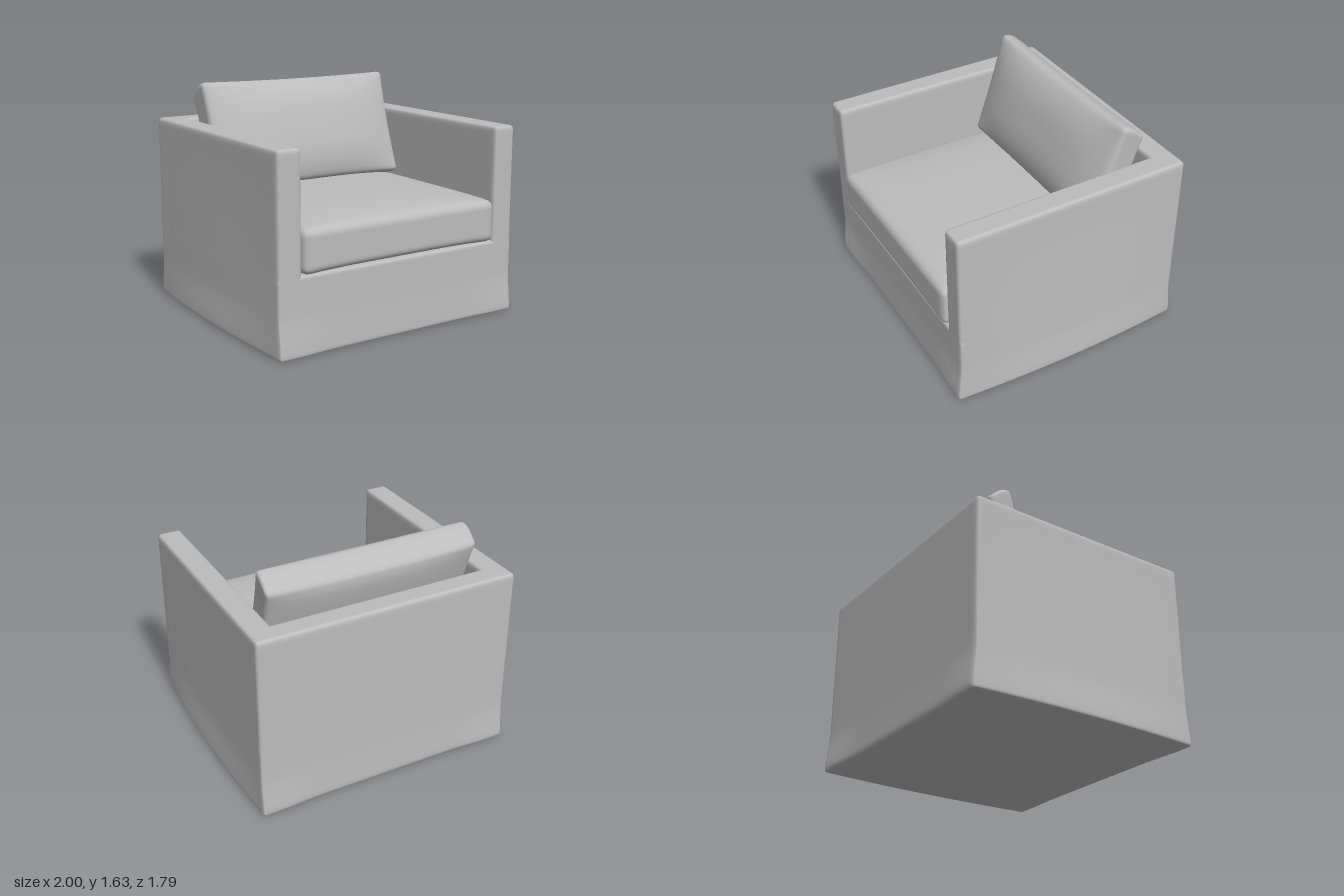
import * as THREE from 'three';
import { mergeVertices } from 'three/addons/utils/BufferGeometryUtils.js';

const { smoothstep, clamp } = THREE.MathUtils;

// Rounded box between two corners, finely divided so a rule can reshape it.
// deform(p, u) gets the point and its -1..1 coordinates inside the box.
function softBox(min, max, radius, deform, n = 30) {
  const lo = new THREE.Vector3(...min), hi = new THREE.Vector3(...max);
  const centre = lo.clone().add(hi).multiplyScalar(0.5);
  const half = hi.clone().sub(lo).multiplyScalar(0.5);
  const geo = new THREE.BoxGeometry(2, 2, 2, n, n, n);
  const pos = geo.attributes.position;
  const p = new THREE.Vector3(), inner = new THREE.Vector3(), u = new THREE.Vector3();
  for (let i = 0; i < pos.count; i++) {
    p.fromBufferAttribute(pos, i);
    // crowd the grid towards the edges, then round them
    for (const a of ['x', 'y', 'z']) {
      p[a] = Math.sin(p[a] * Math.PI / 2) * half[a];
      inner[a] = clamp(p[a], radius - half[a], half[a] - radius);
    }
    p.sub(inner).setLength(radius).add(inner);
    u.copy(p).divide(half);
    p.add(centre);
    deform(p, u);
    pos.setXYZ(i, p.x, p.y, p.z);
  }
  geo.deleteAttribute('uv');
  geo.deleteAttribute('normal');
  const merged = mergeVertices(geo, 1e-5);
  merged.computeVertexNormals();
  return merged;
}

// Loose slipcover: the hem swings outwards near the floor
function flare(p) {
  const hem = 1 - smoothstep(p.y, 0, 0.3);
  const drape = 1 - smoothstep(p.y, 0, 1.3);
  const belly = Math.max(0, 1 - (p.z / 0.88) ** 2);
  p.x += Math.sign(p.x) * smoothstep(Math.abs(p.x), 0.85, 0.96) * belly * (0.02 * hem + 0.015 * drape);
  const corner = 0.3 + 0.7 * smoothstep(Math.abs(p.x), 0.5, 0.85);
  p.z += Math.sign(p.z) * smoothstep(Math.abs(p.z), 0.8, 0.86) * 0.022 * hem * corner;
}

export function createModel() {
  const chair = new THREE.Group();
  chair.name = 'armchair';
  const fabric = new THREE.MeshStandardMaterial({ color: 0xbcbcbc });
  fabric.name = 'grey fabric';
  const add = (name, geo) => {
    const mesh = new THREE.Mesh(geo, fabric);
    mesh.name = name;
    chair.add(mesh);
    return mesh;
  };

  // Upholstered body
  add('base', softBox([-0.967, 0, -0.87], [0.967, 0.535, 0.868], 0.022, flare));
  add('leftArm', softBox([0.79, 0, -0.87], [0.967, 1.35, 0.868], 0.028, flare));
  add('rightArm', softBox([-0.967, 0, -0.87], [-0.79, 1.35, 0.868], 0.028, flare));
  add('backPanel', softBox([-0.967, 0, -0.872], [0.967, 1.35, -0.7], 0.028, flare));

  // Seat cushion with a crowned top
  add('seatCushion', softBox([-0.788, 0.53, -0.7], [0.788, 0.835, 0.892], 0.055, (p, u) => {
    const crown = (1 - u.x ** 4) * (1 - u.z ** 4);
    if (u.y > 0) p.y += 0.05 * crown * u.y;
    if (u.z > 0.9 && u.y < 0) p.y += 0.015 * (1 - u.x ** 4);
  }));

  // Plump back cushion leaning on the back panel
  const cushion = add('backCushion', softBox([-0.79, -0.4, -0.1], [0.79, 0.4, 0.1], 0.035, (p, u) => {
    const puff = (1 - Math.abs(u.x) ** 3.5) * (1 - Math.abs(u.y) ** 3);
    p.z += u.z > 0 ? 0.085 * puff * u.z : 0.035 * puff * u.z;
    p.x -= 0.016 * u.x * (1 - u.y * u.y);
    p.y -= 0.012 * u.y * (1 - u.x * u.x);
    // the rear top edge rolls over more softly than the front seam
    p.y -= 0.045 * smoothstep(-u.z, -0.4, 1) * smoothstep(u.y, 0.6, 1);
  }));
  cushion.position.set(0, 1.225, -0.455);
  cushion.rotation.x = -0.31;

  return chair;
}
